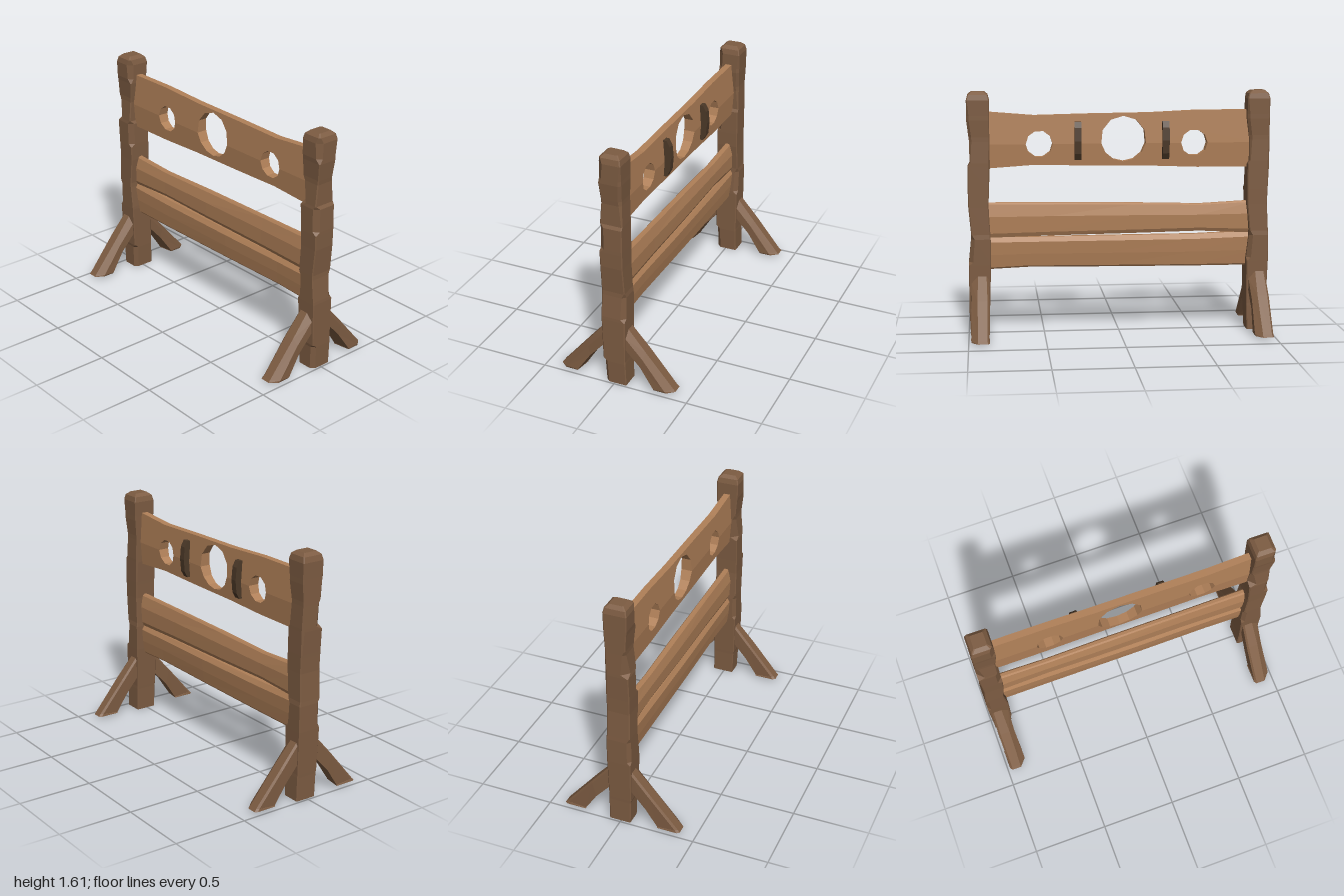
import * as THREE from 'three';

const wood = (color) => new THREE.MeshStandardMaterial({ color, flatShading: true });
const postWood = wood(0x7d5c42);
const plankWood = wood(0xb08058);
const darkWood = wood(0x4c3928);

// Closed solid through a list of rings of equal length
function loft(rings) {
  const tris = [];
  const n = rings[0].length;
  for (let i = 0; i < rings.length - 1; i++) {
    for (let j = 0; j < n; j++) {
      const k = (j + 1) % n;
      const [a, b, c, d] = [rings[i][j], rings[i][k], rings[i + 1][k], rings[i + 1][j]];
      tris.push([a, b, c], [a, c, d]);
    }
  }
  const first = rings[0], last = rings[rings.length - 1];
  for (let j = 1; j < n - 1; j++) {
    tris.push([first[0], first[j + 1], first[j]], [last[0], last[j], last[j + 1]]);
  }
  // Turn the faces outward, whichever way the rings run
  const cross = new THREE.Vector3();
  const volume = tris.reduce((s, [a, b, c]) => s + a.dot(cross.crossVectors(b, c)), 0);
  const points = tris.flatMap(([a, b, c]) => (volume < 0 ? [a, c, b] : [a, b, c]));
  const geometry = new THREE.BufferGeometry().setFromPoints(points);
  geometry.computeVertexNormals();
  return geometry;
}

function mesh(name, geometry, material) {
  const m = new THREE.Mesh(geometry, material);
  m.name = name;
  return m;
}

// Rectangle with its corners cut: chamfers run front right, front left, back left, back right
function cutRect(y, x0, x1, z0, z1, [a, b, c, d]) {
  return [
    [x1, z1 - a], [x1 - a, z1], [x0 + b, z1], [x0, z1 - b],
    [x0, z0 + c], [x0 + c, z0], [x1 - d, z0], [x1, z0 + d],
  ].map(([x, z]) => new THREE.Vector3(x, y, z));
}

// Hewn post with chipped corners
function postGeometry() {
  const s = 0.006;
  return loft([
    cutRect(0.00, -0.060, 0.065, -0.080, 0.065, [0.025, s, s, s]),
    cutRect(0.16, -0.062, 0.072, -0.078, 0.070, [0.025, s, s, s]),
    cutRect(0.18, -0.063, 0.072, -0.077, 0.074, [s, s, s, s]),
    cutRect(0.47, -0.073, 0.072, -0.080, 0.080, [s, s, s, s]),
    cutRect(0.49, -0.073, 0.071, -0.080, 0.080, [s, 0.022, s, 0.028]),
    cutRect(0.64, -0.073, 0.055, -0.080, 0.080, [s, 0.022, s, 0.024]),
    cutRect(0.67, -0.071, 0.054, -0.076, 0.080, [s, s, s, s]),
    cutRect(0.85, -0.062, 0.070, -0.073, 0.078, [s, s, s, s]),
    cutRect(0.95, -0.065, 0.072, -0.073, 0.080, [s, s, s, s]),
    cutRect(0.97, -0.066, 0.072, -0.073, 0.080, [0.032, s, s, s]),
    cutRect(1.12, -0.074, 0.070, -0.072, 0.080, [0.032, s, 0.012, s]),
    cutRect(1.14, -0.074, 0.058, -0.072, 0.077, [s, 0.045, 0.012, s]),
    cutRect(1.28, -0.073, 0.058, -0.068, 0.064, [s, 0.020, s, 0.015]),
    cutRect(1.31, -0.073, 0.062, -0.068, 0.064, [s, s, s, 0.018]),
    cutRect(1.42, -0.073, 0.075, -0.074, 0.072, [s, s, s, 0.016]),
    cutRect(1.45, -0.073, 0.075, -0.074, 0.076, [0.028, s, s, 0.016]),
    cutRect(1.55, -0.074, 0.075, -0.076, 0.078, [0.034, s, s, s]),
    cutRect(1.585, -0.065, 0.066, -0.068, 0.070, [0.012, s, s, s]),
    cutRect(1.605, -0.042, 0.042, -0.045, 0.045, [s, s, s, s]),
  ]);
}

// Slanted brace; sign picks the front or the back
function braceGeometry(sign) {
  // z and y of the lower edge, then z and y of the upper edge
  const sections = [
    [0.00, 0.31, 0.00, 0.45, 0.03],
    [0.08, 0.245, 0.075, 0.40, 0.045],
    [0.17, 0.145, 0.20, 0.255, 0.035],
    [0.25, 0.022, 0.385, 0.033, 0.045],
    [0.25, 0.016, 0.40, 0.016, 0.040],
  ];
  return loft(sections.map(([z0, y0, z1, y1, cut], i) => {
    const x0 = -0.058 + (i % 2) * 0.004, x1 = 0.062 - (i % 3) * 0.004;
    const at = (x, t) => new THREE.Vector3(
      x, THREE.MathUtils.lerp(y0, y1, t), sign * THREE.MathUtils.lerp(z0, z1, t));
    return [at(x0, 0), at(x1, 0.12), at(x1, 0.68), at(x1 - cut, 1), at(x0 + 0.012, 1), at(x0, 0.88)];
  }));
}

// Rail along x: stations give x, bottom and top; the profile gives height fraction and half thickness
function railGeometry(stations, profile) {
  return loft(stations.map(([x, y0, y1], i) => {
    const side = (sign) => profile.map(([t, z]) => new THREE.Vector3(
      x, y0 + t * (y1 - y0), sign * z * (i % 2 ? 0.92 : 1)));
    return [...side(1), ...side(-1).reverse()];
  }));
}

// Half of the holed board, split along its middle line, thinning toward its edge
const MID = 1.26;
const HOLES = [[-0.5, 1.26, 0.088, 5], [-0.03, 1.29, 0.15, 6], [0.525, 1.26, 0.088, 5]];

function boardHalf(edge, sign) {
  const pts = [new THREE.Vector2(-0.9, MID)];
  for (const [cx, cy, r, steps] of HOLES) {
    const tilt = Math.asin((MID - cy) / r);
    const from = Math.PI - tilt;
    const to = sign > 0 ? tilt : 2 * Math.PI + tilt;
    for (let i = 0; i <= steps; i++) {
      const a = from + (to - from) * i / steps;
      pts.push(new THREE.Vector2(cx + r * Math.cos(a), cy + r * Math.sin(a)));
    }
  }
  pts.push(new THREE.Vector2(0.9, MID));
  for (const [x, y] of [...edge].reverse()) pts.push(new THREE.Vector2(x, y));
  const geometry = new THREE.ExtrudeGeometry(new THREE.Shape(pts), { depth: 2, bevelEnabled: false });
  geometry.translate(0, 0, -1);
  const p = geometry.attributes.position;
  for (let i = 0; i < p.count; i++) {
    p.setZ(i, p.getZ(i) * (0.037 - 0.07 * Math.abs(p.getY(i) - MID)));
  }
  geometry.computeVertexNormals();
  return geometry;
}

// Short bowed strap
function strapGeometry() {
  const path = [[-0.125, -0.050], [-0.085, -0.072], [0, -0.080], [0.085, -0.072], [0.125, -0.050]];
  return loft(path.map(([y, z]) => [[-0.022, z], [0.022, z], [0.022, -0.018], [-0.022, -0.018]]
    .map(([x, zz]) => new THREE.Vector3(x, y, zz))));
}

export function createModel() {
  const model = new THREE.Group();
  model.name = 'pillory';

  // Two alike stands, each a post with two braces
  for (const [name, x] of [['rightStand', -0.925], ['leftStand', 0.922]]) {
    const stand = new THREE.Group();
    stand.name = name;
    stand.position.x = x;
    stand.add(
      mesh('post', postGeometry(), postWood),
      mesh('frontBrace', braceGeometry(1), postWood),
      mesh('backBrace', braceGeometry(-1), postWood),
    );
    model.add(stand);
  }

  // Board with a neck hole and two wrist holes
  const board = new THREE.Group();
  board.name = 'holedBoard';
  const topEdge = [[-0.9, 1.475], [-0.52, 1.475], [-0.2, 1.46], [0.2, 1.455], [0.56, 1.447], [0.9, 1.475]];
  const bottomEdge = [[-0.9, 1.097], [-0.52, 1.098], [-0.2, 1.11], [0.2, 1.115], [0.56, 1.123], [0.9, 1.10]];
  board.add(
    mesh('upperHalf', boardHalf(topEdge, 1), plankWood),
    mesh('lowerHalf', boardHalf(bottomEdge, -1), plankWood),
  );
  model.add(board);

  // Straps on the back of the board
  for (const x of [-0.308, 0.272]) {
    const strap = mesh('strap', strapGeometry(), darkWood);
    strap.position.set(x, 1.28, 0);
    model.add(strap);
  }

  // Two rails below the board
  model.add(
    mesh('upperRail', railGeometry(
      [[-0.9, 0.65, 0.868], [-0.54, 0.668, 0.85], [-0.1, 0.66, 0.862], [0.45, 0.652, 0.87], [0.9, 0.642, 0.875]],
      [[0, 0.022], [0.12, 0.034], [0.6, 0.038], [0.95, 0.02], [1, 0.01]]), plankWood),
    mesh('lowerRail', railGeometry(
      [[-0.9, 0.43, 0.66], [-0.5, 0.43, 0.646], [0.1, 0.436, 0.645], [0.6, 0.442, 0.643], [0.9, 0.43, 0.645]],
      [[0, 0.012], [0.05, 0.02], [0.45, 0.032], [0.85, 0.038], [1, 0.018]]), plankWood),
  );
  return model;
}
